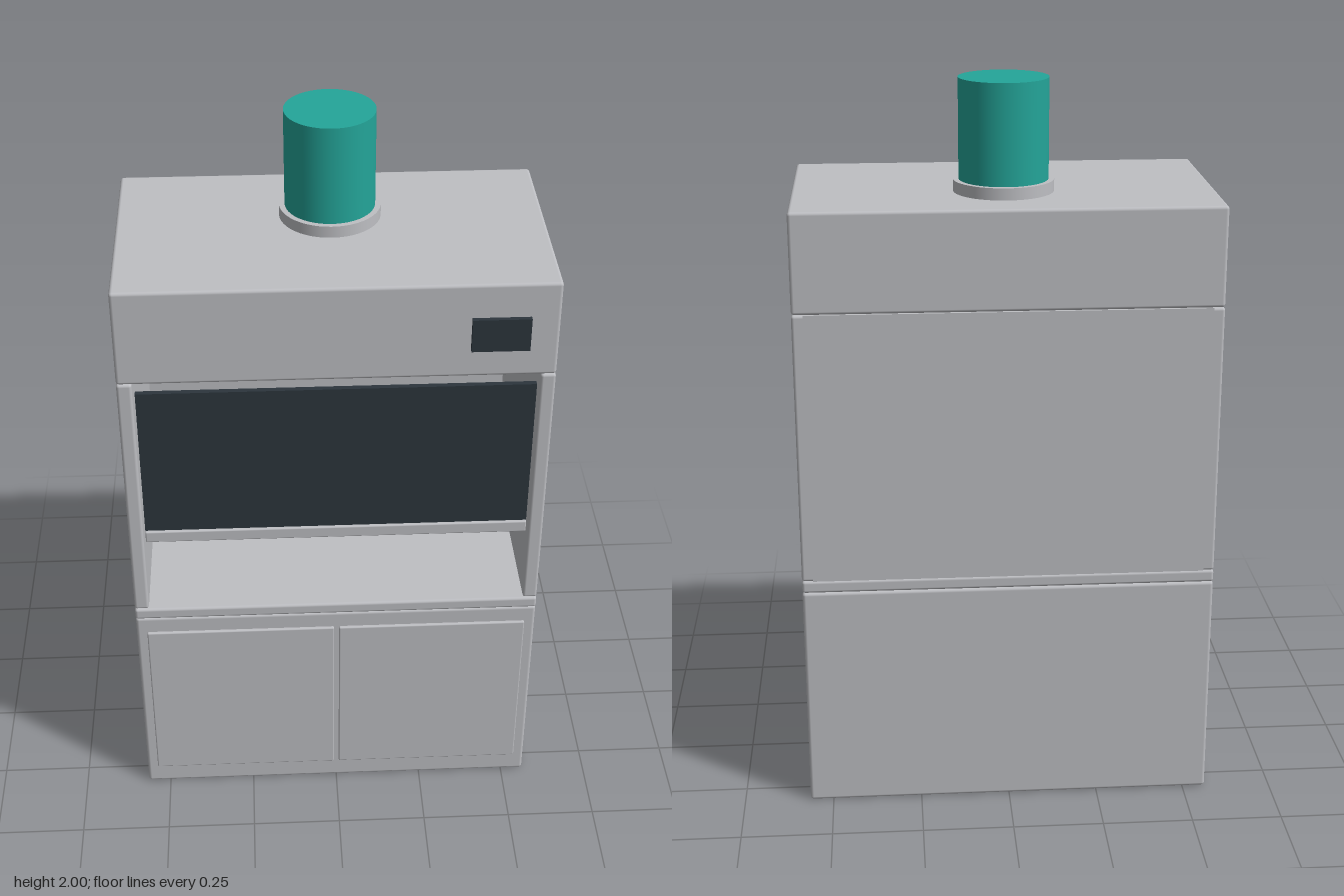
import * as THREE from 'three';
import { RoundedBoxGeometry } from 'three/addons/geometries/RoundedBoxGeometry.js';

export function createModel() {
  const model = new THREE.Group();
  model.name = 'fumeHood';

  const paint = (name, color) => {
    const m = new THREE.MeshStandardMaterial({ color });
    m.name = name;
    return m;
  };
  const grey = paint('greyPanel', 0xbebfc3);
  const dark = paint('darkGlass', 0x2c353d);
  const teal = paint('tealDuct', 0x24a599);

  const add = (name, geometry, material) => {
    const mesh = new THREE.Mesh(geometry, material);
    mesh.name = name;
    model.add(mesh);
    return mesh;
  };
  // Box given by its limits on each axis, with softened edges when r > 0
  const box = (name, [x0, x1], [y0, y1], [z0, z1], material, r = 0) => {
    const size = [x1 - x0, y1 - y0, z1 - z0];
    const geo = r ? new RoundedBoxGeometry(...size, 2, r) : new THREE.BoxGeometry(...size);
    add(name, geo, material).position.set((x0 + x1) / 2, (y0 + y1) / 2, (z0 + z1) / 2);
  };

  const W = 0.565, BACK = -0.322, FRONT = 0.312;

  // Base cabinet, worktop and head
  box('baseCabinet', [-W, W], [0, 0.645], [BACK, FRONT], grey, 0.009);
  box('worktop', [-W, W], [0.645, 0.68], [BACK, FRONT + 0.003], grey, 0.008);
  box('headUnit', [-W, W], [1.43, 1.7], [BACK, FRONT], grey, 0.009);

  // Working chamber, open at the front
  box('backPanel', [-W + 0.03, W - 0.03], [0.68, 1.43], [BACK, BACK + 0.035], grey);
  for (const [side, s] of [['left', 1], ['right', -1]]) {
    const span = (a, b) => (s > 0 ? [a, b] : [-b, -a]);
    box(side + 'SidePanel', span(0.525, W), [0.68, 1.43], [BACK, FRONT], grey, 0.008);
    box(side + 'Door', span(0.007, 0.535), [0.065, 0.595], [0.3, 0.32], grey, 0.004);
  }

  // Sliding sash with its lower handle rail
  box('sashGlass', [-0.52, 0.52], [0.945, 1.39], [0.28, 0.295], dark);
  box('sashHandle', [-0.52, 0.52], [0.91, 0.945], [0.272, 0.303], grey, 0.004);

  // Control display
  box('controlDisplay', [0.34, 0.49], [1.512, 1.605], [FRONT - 0.002, 0.325], dark);

  // Exhaust collar and duct
  const DUCT_Z = -0.083;
  add('ductCollar', new THREE.CylinderGeometry(0.135, 0.135, 0.035, 48), grey).position.set(0, 1.7145, DUCT_Z);
  add('exhaustDuct', new THREE.CylinderGeometry(0.12, 0.12, 0.3, 48), teal).position.set(0, 1.85, DUCT_Z);

  return model;
}
